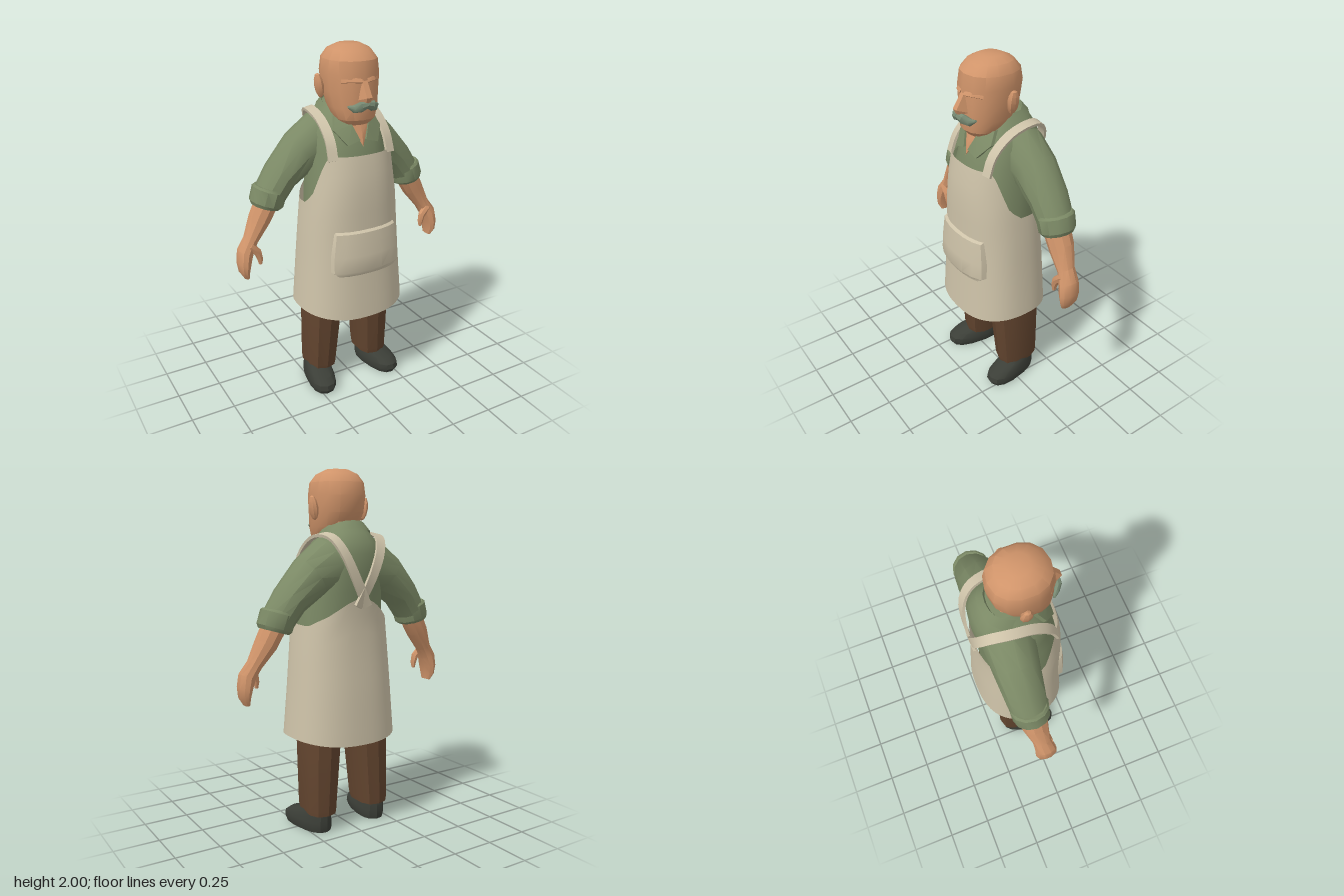
import * as THREE from 'three';
import { toCreasedNormals } from 'three/addons/utils/BufferGeometryUtils.js';
import { ConvexGeometry } from 'three/addons/geometries/ConvexGeometry.js';

const mat = (name, color, side = THREE.FrontSide) => {
  const m = new THREE.MeshStandardMaterial({ color, side });
  m.name = name;
  return m;
};
const V = (x, y, z) => new THREE.Vector3(x, y, z);

// Sharp edges stay sharp; scaled up first so that small parts keep separate corners
function crease(geo, angle = 0.55) {
  geo.deleteAttribute('uv');
  geo.scale(100, 100, 100);
  const g = toCreasedNormals(geo, angle);
  return g.scale(0.01, 0.01, 0.01);
}

// Skin over a list of rings; closed rings get end caps
function loft(rings, closed = true) {
  const n = rings[0].length, pos = [], idx = [];
  rings.forEach(r => r.forEach(p => pos.push(p.x, p.y, p.z)));
  for (let i = 0; i < rings.length - 1; i++) {
    for (let j = 0; j < (closed ? n : n - 1); j++) {
      const k = (j + 1) % n, a = i * n + j, b = i * n + k;
      idx.push(a, b, b + n, a, b + n, a + n);
    }
  }
  if (closed) [0, rings.length - 1].forEach((ri, end) => {
    const c = rings[ri].reduce((s, p) => s.add(p), V(0, 0, 0)).divideScalar(n);
    const ci = pos.length / 3;
    pos.push(c.x, c.y, c.z);
    for (let j = 0; j < n; j++) {
      const a = ri * n + j, b = ri * n + (j + 1) % n;
      idx.push(ci, end ? a : b, end ? b : a);
    }
  });
  const g = new THREE.BufferGeometry();
  g.setAttribute('position', new THREE.Float32BufferAttribute(pos, 3));
  g.setIndex(idx);
  return crease(g);
}

// Point on a rounded horizontal section, angle 0 at the front
function secPoint(t, y, rx, zf, zb, cx = 0, pow = 2.4) {
  const f = v => Math.sign(v) * Math.abs(v) ** (2 / pow);
  return V(cx + rx * f(Math.sin(t)), y, (zf + zb) / 2 + (zf - zb) / 2 * f(Math.cos(t)));
}
// Rows are [y, half width, front z, back z, centre x]
const stack = (rows, sides, pow) => loft(rows.map(([y, rx, zf, zb, cx]) =>
  Array.from({ length: sides }, (_, j) => secPoint(j / sides * Math.PI * 2, y, rx, zf, zb, cx, pow))));

// Limb through [x, y, z, radius, depth radius]
function limb(path, sides = 10) {
  return loft(path.map(([x, y, z, r, rz], i) => {
    const p = path[Math.max(i - 1, 0)], q = path[Math.min(i + 1, path.length - 1)];
    const d = new THREE.Vector2(q[0] - p[0], q[1] - p[1]).normalize();
    return Array.from({ length: sides }, (_, j) => {
      const t = j / sides * Math.PI * 2, s = Math.sin(t) * r;
      return V(x + d.y * s, y - d.x * s, z + Math.cos(t) * rz);
    });
  }));
}
const hull = pts => crease(new ConvexGeometry(pts.map(p => V(...p))), 0.4);

// Mirror across x, with the corner order turned round
function mirror(geo) {
  const g = geo.clone().scale(-1, 1, 1);
  for (const a of [g.attributes.position, g.attributes.normal]) {
    for (let i = 0; i < a.count; i += 3) {
      const b = V().fromBufferAttribute(a, i + 1), c = V().fromBufferAttribute(a, i + 2);
      a.setXYZ(i + 1, c.x, c.y, c.z);
      a.setXYZ(i + 2, b.x, b.y, b.z);
    }
  }
  return g;
}

// Linear lookup in rows sorted by their first value
function lookup(rows, k) {
  let i = 0;
  while (i < rows.length - 2 && k > rows[i + 1][0]) i++;
  const f = THREE.MathUtils.clamp((k - rows[i][0]) / (rows[i + 1][0] - rows[i][0]), 0, 1);
  return rows[i].map((v, j) => v + (rows[i + 1][j] - v) * f);
}

export function createModel() {
  const group = new THREE.Group();
  const skin = mat('skin', 0xd0946a), shirt = mat('shirt', 0x7c8a66, THREE.DoubleSide);
  const cloth = mat('apron cloth', 0xcdc2a8, THREE.DoubleSide), brown = mat('trousers', 0x63452f);
  const shoeMat = mat('shoe', 0x3b3e37), hair = mat('moustache', 0x788a73);
  const add = (name, geo, m) => {
    const mesh = new THREE.Mesh(geo, m);
    mesh.name = name;
    group.add(mesh);
  };
  const pair = (name, geo, m) => {
    add(name + 'Left', geo, m);
    add(name + 'Right', mirror(geo), m);
  };

  // Head and face
  add('head', stack([[1.6, 0.075, 0.145, 0.02], [1.63, 0.108, 0.172, -0.04], [1.69, 0.128, 0.18, -0.1],
    [1.77, 0.14, 0.177, -0.142], [1.86, 0.147, 0.178, -0.155], [1.93, 0.14, 0.167, -0.142],
    [1.975, 0.11, 0.125, -0.105], [2, 0.06, 0.065, -0.05]], 14, 2.25), skin);
  add('neck', stack([[1.46, 0.1, 0.08, -0.14], [1.62, 0.1, 0.1, -0.13], [1.72, 0.095, 0.09, -0.12]], 10), skin);
  add('nose', hull([-1, 1].flatMap(s => [[s * 0.014, 1.835, 0.176], [s * 0.016, 1.755, 0.226],
    [s * 0.036, 1.735, 0.165], [s * 0.012, 1.725, 0.213], [s * 0.03, 1.76, 0.165]])), skin);
  pair('brow', hull([[0.015, 1.85, 0.17], [0.015, 1.828, 0.187], [0.065, 1.832, 0.172], [0.112, 1.825, 0.13],
    [0.06, 1.86, 0.16], [0.11, 1.85, 0.125], [0.02, 1.815, 0.165], [0.1, 1.812, 0.12]]), skin);
  pair('ear', crease(new THREE.SphereGeometry(1, 8, 6).scale(0.023, 0.066, 0.034)
    .rotateZ(-0.15).translate(0.162, 1.793, -0.013)), skin);
  pair('moustache', limb([[0, 1.717, 0.203, 0.018, 0.02], [0.035, 1.708, 0.198, 0.028, 0.022],
    [0.065, 1.697, 0.178, 0.021, 0.018], [0.088, 1.707, 0.16, 0.006, 0.008]], 8), hair);

  // Shirt body, collar and open neck
  add('shirtBody', stack([[0.9, 0.25, 0.19, -0.21], [1.2, 0.243, 0.205, -0.212], [1.35, 0.225, 0.19, -0.232],
    [1.45, 0.215, 0.16, -0.243], [1.55, 0.2, 0.145, -0.245], [1.61, 0.17, 0.11, -0.23],
    [1.66, 0.13, 0.07, -0.2], [1.7, 0.1, 0.04, -0.165]], 20), shirt);
  const collarRows = [[1.605, 0.15, 0.125, -0.195, 0.4], [1.655, 0.118, 0.115, -0.16, 0.45], [1.61, 0.1, 0.1, -0.14, 0.4]];
  add('collar', loft(collarRows.map(([y, rx, zf, zb, tilt]) => Array.from({ length: 17 }, (_, j) => {
    const p = secPoint((25 + j / 16 * 310) * Math.PI / 180, y, rx, zf, zb);
    p.y -= tilt * p.z;
    return p;
  })), false), shirt);
  const flap = [[0.05, 1.605, 0.135], [0.018, 1.525, 0.168], [0.09, 1.503, 0.167], [0.14, 1.575, 0.106], [0.115, 1.64, 0.065]];
  pair('collarFlap', hull(flap.concat(flap.map(([x, y, z]) => [x, y, z - 0.02]))), shirt);
  add('openNeck', hull([[-0.06, 1.615, 0.12], [0.06, 1.615, 0.12], [0, 1.488, 0.167], [0, 1.55, 0.157],
    [0, 1.61, 0.13], [0, 1.53, 0.1]]), skin);

  // Arms with rolled sleeves
  pair('sleeve', limb([[0.11, 1.5, -0.09, 0.15, 0.14], [0.24, 1.43, -0.1, 0.12, 0.125],
    [0.365, 1.312, -0.1, 0.095, 0.11], [0.435, 1.21, -0.097, 0.088, 0.1]], 12), shirt);
  pair('cuff', limb([[0.424, 1.262, -0.097, 0.085, 0.095], [0.428, 1.245, -0.097, 0.096, 0.106],
    [0.453, 1.172, -0.095, 0.094, 0.102], [0.458, 1.155, -0.095, 0.08, 0.09]], 12), shirt);
  pair('forearm', limb([[0.44, 1.2, -0.09, 0.066, 0.078], [0.5, 1.09, -0.088, 0.061, 0.072],
    [0.562, 0.985, -0.075, 0.042, 0.05], [0.6, 0.925, -0.065, 0.046, 0.058], [0.613, 0.865, -0.062, 0.038, 0.063],
    [0.615, 0.815, -0.06, 0.028, 0.055], [0.604, 0.775, -0.06, 0.014, 0.035]]), skin);
  pair('thumb', limb([[0.585, 0.965, -0.04, 0.026, 0.026], [0.54, 0.92, -0.032, 0.022, 0.022],
    [0.53, 0.88, -0.03, 0.016, 0.018], [0.53, 0.85, -0.03, 0.009, 0.011]], 7), skin);

  // Apron wraps the whole body; its upper edge depends on the angle from the front
  const apronRows = [[0.51, 0.32, 0.252, -0.27], [0.8, 0.296, 0.235, -0.255], [1, 0.281, 0.225, -0.24],
    [1.2, 0.262, 0.227, -0.232], [1.35, 0.245, 0.215, -0.25], [1.45, 0.24, 0.196, -0.262]];
  const topEdge = [[0, 1.45], [48, 1.45], [62, 1.36], [75, 1.24], [90, 1.17], [110, 1.165], [140, 1.22], [165, 1.29], [180, 1.32]];
  const ROWS = 9, COLS = 48;
  add('apron', loft(Array.from({ length: ROWS + 1 }, (_, i) => Array.from({ length: COLS + 1 }, (_, j) => {
    const deg = j / COLS * 360, t = deg * Math.PI / 180;
    const hem = 0.525 - 0.015 * Math.cos(2 * t);
    const y = hem + (lookup(topEdge, Math.min(deg, 360 - deg))[1] - hem) * i / ROWS;
    const [, rx, zf, zb] = lookup(apronRows, y);
    return secPoint(t, y, rx, zf, zb);
  })), false), cloth);

  // Front pocket, bulging from the apron
  const pocketRows = [[0.778, 0.165, 0], [0.785, 0.175, 0.016], [0.81, 0.208, 0.03], [0.9, 0.205, 0.03],
    [1.03, 0.187, 0.02], [1.042, 0.185, 0]];
  const across = [-1, -0.97, -0.7, -0.35, 0, 0.35, 0.7, 0.97, 1];
  add('pocket', loft(pocketRows.map(([y, w, bulge]) => across.map(u => {
    const [, rx, zf, zb] = lookup(apronRows, y), x = u * w;
    const z = (zf + zb) / 2 + (zf - zb) / 2 * (1 - Math.abs(x / rx) ** 2.4) ** (1 / 2.4);
    return V(x, y, z + (Math.abs(u) === 1 ? -0.003 : bulge - 0.003));
  })), false), cloth);

  // Straps run over the shoulders and cross on the back
  const strapPath = new THREE.CatmullRomCurve3([[0.173, 1.43, 0.155], [0.17, 1.53, 0.115], [0.17, 1.615, 0.02],
    [0.17, 1.65, -0.09], [0.15, 1.635, -0.185], [0.115, 1.56, -0.243], [0.05, 1.42, -0.262], [-0.03, 1.27, -0.247]].map(p => V(...p)));
  pair('strap', loft(Array.from({ length: 21 }, (_, i) => {
    const p = strapPath.getPoint(i / 20), T = strapPath.getTangent(i / 20);
    const out = p.clone().sub(V(p.x * 0.75, 1.42, -0.06));
    const W = T.clone().cross(out).normalize(), N = W.clone().cross(T).normalize();
    return [[1, -1], [1, 1], [-1, 1], [-1, -1]].map(([n, w]) =>
      p.clone().addScaledVector(N, n * 0.008).addScaledVector(W, w * 0.026));
  })), cloth);

  // Trousers and shoes
  add('hips', stack([[0.66, 0.2, 0.12, -0.18], [0.72, 0.24, 0.14, -0.19], [0.95, 0.24, 0.16, -0.2]], 14), brown);
  pair('trouserLeg', stack([[0.1, 0.082, 0.062, -0.178, 0.174], [0.13, 0.086, 0.07, -0.182, 0.174],
    [0.5, 0.103, 0.1, -0.186, 0.158], [0.78, 0.115, 0.13, -0.19, 0.135]], 10, 2.8), brown);
  const shoe = stack([[0, 0.074, 0.165, -0.16], [0.025, 0.082, 0.178, -0.165], [0.055, 0.08, 0.172, -0.165],
    [0.082, 0.074, 0.13, -0.163], [0.105, 0.068, 0.06, -0.158], [0.13, 0.06, 0.02, -0.145]], 14, 2.5);
  pair('shoe', shoe.rotateY(0.17).translate(0.199, 0, 0), shoeMat);

  return group;
}
